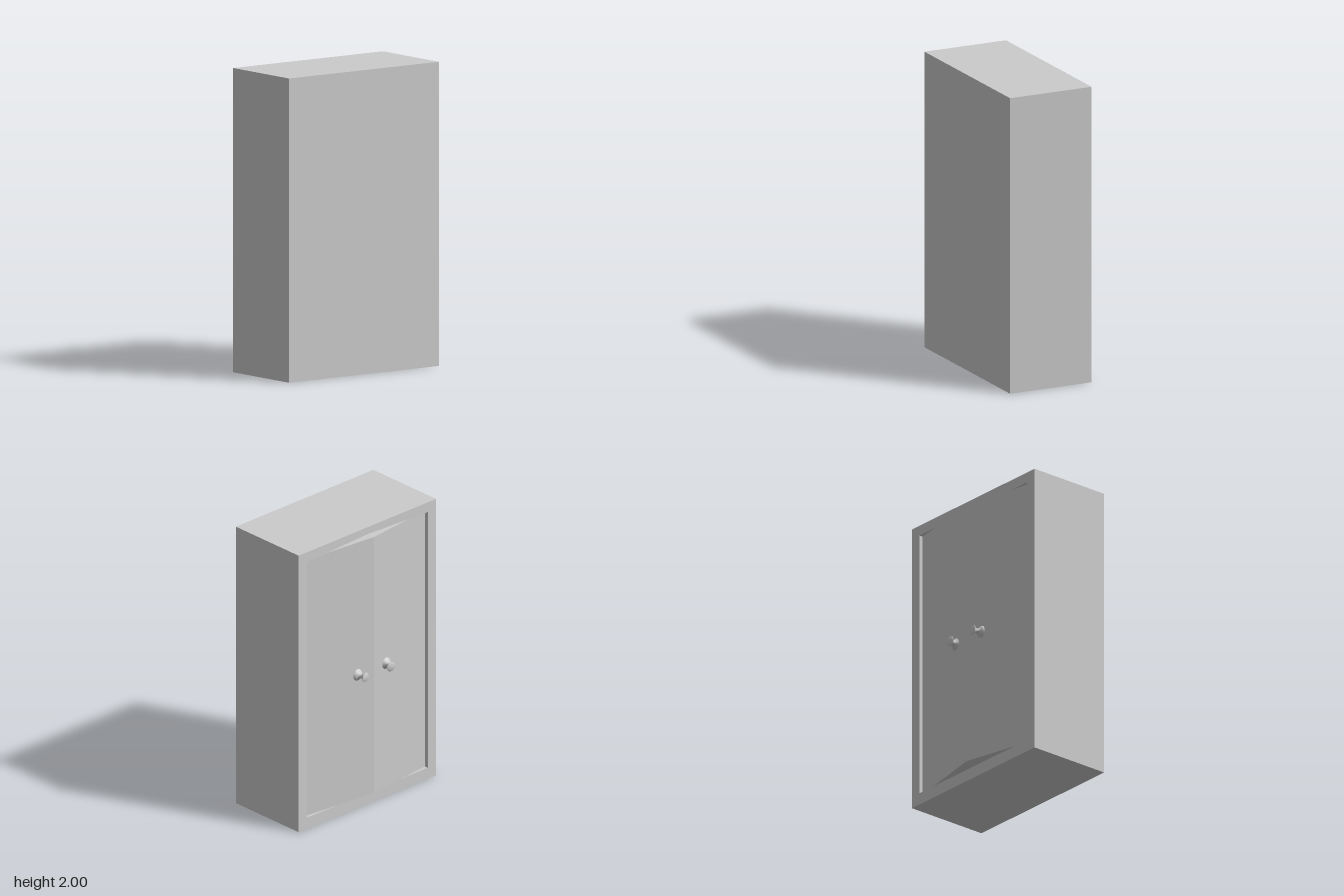
import * as THREE from 'three';

const material = new THREE.MeshStandardMaterial({ color: 0xcccccc });

function addMesh(parent, name, geometry) {
  const mesh = new THREE.Mesh(geometry, material);
  mesh.name = name;
  parent.add(mesh);
  return mesh;
}

// Cabinet outline, door opening and the z planes of the carcass
const HALF_W = 0.615, HEIGHT = 2, Z_DOOR = -0.24, Z_WALL = 0.355;
const OPEN_W = 0.54, OPEN_BOTTOM = 0.08, OPEN_TOP = 1.93, Z_RECESS = -0.205;

function rectangle(path, halfW, y0, y1) {
  path.moveTo(-halfW, y0);
  path.lineTo(halfW, y0);
  path.lineTo(halfW, y1);
  path.lineTo(-halfW, y1);
  path.closePath();
  return path;
}

// Door leaf: a box slanted outward to the middle, rising slightly there
function doorGeometry(side) {
  const height = OPEN_TOP - OPEN_BOTTOM;
  const geometry = new THREE.BoxGeometry(OPEN_W, height, 1);
  const p = geometry.attributes.position;
  for (let i = 0; i < p.count; i++) {
    const x = p.getX(i) + side * OPEN_W / 2;
    const inward = 1 - Math.abs(x) / OPEN_W;
    const y = p.getY(i) + (OPEN_TOP + OPEN_BOTTOM) / 2 + 0.02 * inward;
    const z = p.getZ(i) < 0 ? -0.213 - 0.087 * inward : -0.2;
    p.setXYZ(i, x, y, z);
  }
  geometry.computeVertexNormals();
  return geometry;
}

// Knob: flared base, narrow neck and shallow domed cap
function knobGeometry() {
  const neck = new THREE.SplineCurve([
    [0.041, 0], [0.037, 0.01], [0.022, 0.024], [0.016, 0.037],
    [0.019, 0.05], [0.033, 0.066],
  ].map(([r, h]) => new THREE.Vector2(r, h))).getPoints(16);
  const cap = [[0.031, 0.07], [0.018, 0.073], [0, 0.075]]
    .map(([r, h]) => new THREE.Vector2(r, h));
  return new THREE.LatheGeometry([...neck, ...cap], 24);
}

export function createModel() {
  const cabinet = new THREE.Group();
  cabinet.name = 'cabinet';

  // Carcass with a framed recess for the doors
  const depth = Z_WALL - Z_RECESS;
  const carcass = new THREE.BoxGeometry(HALF_W * 2, HEIGHT, depth);
  carcass.translate(0, HEIGHT / 2, (Z_WALL + Z_RECESS) / 2);
  addMesh(cabinet, 'carcass', carcass);

  const frame = rectangle(new THREE.Shape(), HALF_W, 0, HEIGHT);
  frame.holes.push(rectangle(new THREE.Path(), OPEN_W, OPEN_BOTTOM, OPEN_TOP));
  const frameGeometry = new THREE.ExtrudeGeometry(frame, {
    depth: Z_RECESS - Z_DOOR, bevelEnabled: false,
  });
  addMesh(cabinet, 'doorFrame', frameGeometry.translate(0, 0, Z_DOOR));

  // Mirrored doors with knobs
  for (const side of [1, -1]) {
    const door = new THREE.Group();
    door.name = side > 0 ? 'leftDoor' : 'rightDoor';
    addMesh(door, 'doorLeaf', doorGeometry(side));
    const knob = addMesh(door, 'knob', knobGeometry());
    knob.position.set(side * 0.125, 0.99, -0.277);
    knob.quaternion.setFromUnitVectors(
      new THREE.Vector3(0, 1, 0),
      new THREE.Vector3(-side * 0.16, 0, -1).normalize());
    cabinet.add(door);
  }
  return cabinet;
}
